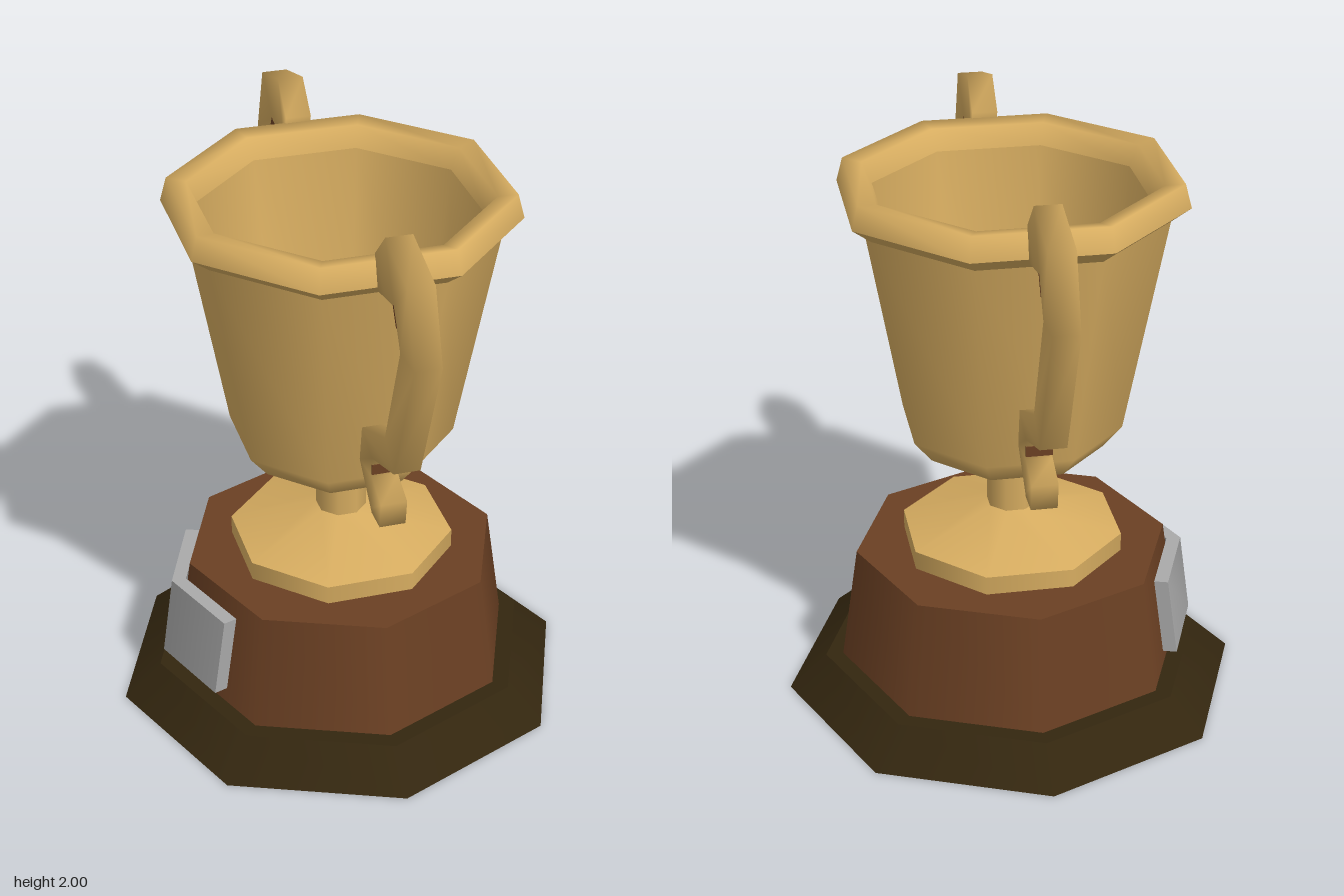
import * as THREE from 'three';
import { toCreasedNormals } from 'three/addons/utils/BufferGeometryUtils.js';

const material = (name, color) => {
  const m = new THREE.MeshStandardMaterial({ color });
  m.name = name;
  return m;
};

export function createModel() {
  const gold = material('gold', 0xd6ac60);
  const wood = material('brown wood', 0x6b4023);
  const dark = material('dark wood', 0x33260f);
  const silver = material('silver', 0xaaaaaa);
  const model = new THREE.Group();

  const add = (parent, name, geometry, mat) => {
    const mesh = new THREE.Mesh(geometry, mat);
    mesh.name = name;
    parent.add(mesh);
    return mesh;
  };

  // Eight-sided turned part: smooth inside each profile, sharp between profiles.
  // A flat part has its faces, not its corners, on the x and z axes.
  const turned = (name, mat, flat, profiles) => {
    const part = new THREE.Group();
    part.name = name;
    const k = flat ? 1 / Math.cos(Math.PI / 8) : 1;
    profiles.forEach((profile, i) => {
      const points = profile.map(([r, y]) => new THREE.Vector2(r * k, y));
      const start = flat ? Math.PI / 8 : 0;
      add(part, `${name}Surface${i + 1}`, new THREE.LatheGeometry(points, 8, start), mat);
    });
    model.add(part);
  };

  // Stepped wooden stand
  turned('base', dark, false, [
    [[0, 0], [0.79, 0]],
    [[0.79, 0], [0.66, 0.12]],
    [[0.66, 0.12], [0, 0.12]],
  ]);
  turned('plinth', wood, false, [
    [[0.6, 0.12], [0.54, 0.525]],
    [[0.54, 0.525], [0, 0.525]],
  ]);

  // Foot, stem and bowl
  turned('foot', gold, true, [
    [[0.355, 0.525], [0.355, 0.59]],
    [[0.355, 0.59], [0.08, 0.68]],
  ]);
  turned('stem', gold, true, [[[0.08, 0.67], [0.08, 0.82]]]);
  turned('cup', gold, true, [
    [[0.08, 0.81], [0.29, 0.92], [0.35, 1.0], [0.48, 1.75]],
    [[0.48, 1.75], [0.54, 1.8]],
    [[0.54, 1.8], [0.52, 1.88], [0.46, 1.87], [0.43, 1.8]],
    [[0.43, 1.8], [0.33, 1.05], [0.26, 0.95], [0, 0.88]],
  ]);

  // Handle cross-sections, from rim to curl: outer z, outer y, inner z, inner y
  const sections = [
    [0.51, 1.9, 0.545, 1.79],
    [0.61, 2.0, 0.62, 1.805],
    [0.825, 1.94, 0.7, 1.82],
    [0.905, 1.71, 0.77, 1.7],
    [0.725, 1.25, 0.63, 1.325],
    [0.5, 1.17, 0.38, 1.215],
    [0.5, 1.1, 0.365, 1.085],
    [0.6, 1.055, 0.49, 0.975],
    [0.587, 0.965, 0.5, 0.965],
  ];
  const w = 0.043;
  const positions = [];
  const indices = [];
  for (const [oz, oy, iz, iy] of sections) {
    positions.push(w, oy, oz, -w, oy, oz, -w, iy, iz, w, iy, iz);
  }
  const quad = (a, b, c, d) => indices.push(a, b, c, a, c, d);
  for (let s = 0; s < sections.length - 1; s++) {
    for (let i = 0; i < 4; i++) {
      const a = s * 4 + i;
      const b = s * 4 + ((i + 1) % 4);
      quad(a, b, b + 4, a + 4);
    }
  }
  const last = (sections.length - 1) * 4;
  quad(3, 2, 1, 0);
  quad(last, last + 1, last + 2, last + 3);
  const handleGeometry = new THREE.BufferGeometry();
  handleGeometry.setAttribute('position', new THREE.Float32BufferAttribute(positions, 3));
  handleGeometry.setIndex(indices);
  handleGeometry.computeVertexNormals();

  // Two opposite handles with small brown inlays in their inner bends
  for (const [name, turn] of [['frontHandle', 0], ['backHandle', Math.PI]]) {
    const handle = new THREE.Group();
    handle.name = name;
    handle.rotation.y = turn;
    add(handle, 'handleBar', handleGeometry, gold);
    const upper = add(handle, 'upperInlay', new THREE.BoxGeometry(0.087, 0.07, 0.009), wood);
    upper.position.set(0, 1.793, 0.714);
    upper.rotation.x = -0.53;
    const lower = add(handle, 'lowerInlay', new THREE.BoxGeometry(0.087, 0.035, 0.008), wood);
    lower.position.set(0, 1.128, 0.5);
    model.add(handle);
  }

  // Plate bent round the plinth corner and leaning with its sides
  const outline = [[-0.645, 0], [-0.53, -0.29], [-0.485, -0.275],
    [-0.595, 0], [-0.485, 0.275], [-0.53, 0.29]];
  const shape = new THREE.Shape(outline.map(([x, z]) => new THREE.Vector2(x, z)));
  const plate = new THREE.ExtrudeGeometry(shape, { depth: 0.285, bevelEnabled: false });
  plate.rotateX(Math.PI / 2).translate(0, 0.465, 0);
  const p = plate.attributes.position;
  for (let i = 0; i < p.count; i++) p.setX(i, p.getX(i) + (p.getY(i) - 0.18) * 0.14);
  add(model, 'plaque', toCreasedNormals(plate, 0.9), silver);

  return model;
}
